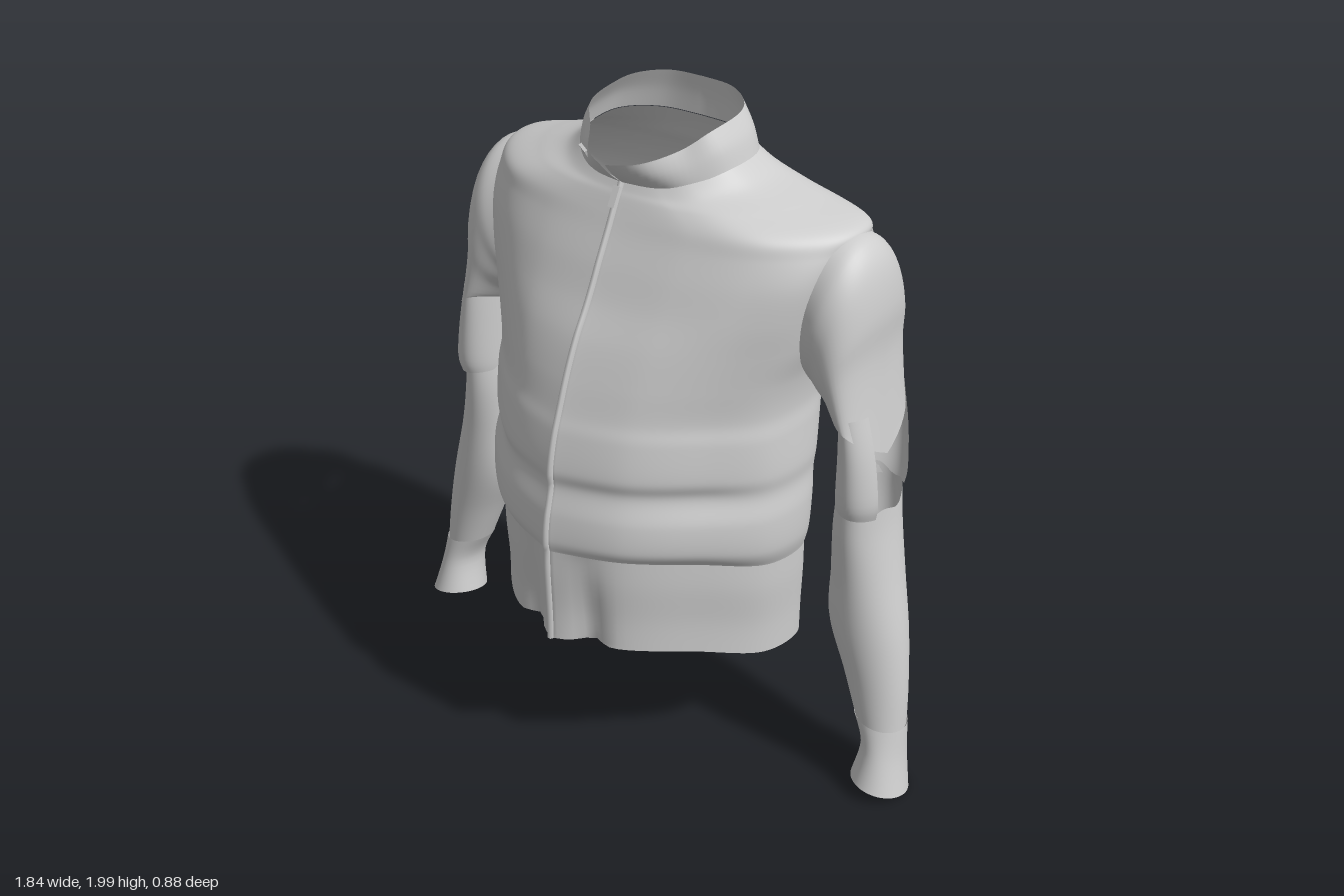
import * as THREE from 'three';
import { mergeVertices } from 'three/addons/utils/BufferGeometryUtils.js';

const fabric = new THREE.MeshStandardMaterial({ color: 0xcccccc, side: THREE.DoubleSide });
fabric.name = 'light grey fabric';

// Catmull-Rom through a list of number rows, t in 0..1
function sample(rows, t) {
  const n = rows.length - 1, f = Math.min(Math.max(t, 0), 1) * n;
  const i = Math.min(Math.floor(f), n - 1), k = f - i;
  const at = j => rows[Math.min(Math.max(j, 0), n)];
  return rows[i].map((_, c) => {
    const [a, b, d, e] = [at(i - 1)[c], at(i)[c], at(i + 1)[c], at(i + 2)[c]];
    return b + 0.5 * k * (d - a + k * (2 * a - 5 * b + 4 * d - e + k * (3 * (b - d) + e - a)));
  });
}

// Smooth sheet from point(u around, v along); hole(point) leaves faces out
function sheet(name, point, cols, rows, { flip = false, hole = () => false } = {}) {
  const pts = [], idx = [];
  for (let i = 0; i <= rows; i++)
    for (let j = 0; j <= cols; j++) pts.push(point(j / cols, i / rows));
  for (let i = 0; i < rows; i++)
    for (let j = 0; j < cols; j++) {
      const a = i * (cols + 1) + j, b = a + 1, d = a + cols + 1, c = d + 1;
      if (hole(pts[a])) continue;
      if (flip) idx.push(a, c, b, a, d, c);
      else idx.push(a, b, c, a, c, d);
    }
  let g = new THREE.BufferGeometry();
  g.setAttribute('position', new THREE.Float32BufferAttribute(pts.flat(), 3));
  g.setIndex(idx);
  g = mergeVertices(g, 1e-5);
  g.computeVertexNormals();
  const m = new THREE.Mesh(g, fabric);
  m.name = name;
  return m;
}

// Body cross-section; row = [front y, back y, half width, front z, side z, back z,
// front roundness, back roundness]
function section(row, u) {
  const [yF, yB, W, F, S, B, r, q] = row;
  const y = w => yB + (yF - yB) * w;
  const half = [
    [0, y(1), F],
    [0.4 * W, y(0.97), S + (F - S) * (0.8 + 0.13 * r)],
    [0.72 * W, y(0.75), S + (F - S) * (0.42 + 0.25 * r)],
    [0.96 * W, y(0.35), S],
    [W, y(0.2), (S + B) / 2],
    [(0.92 - 0.08 * q) * W, y(0.08), B + (0.09 + 0.16 * q) * (S - B)],
    [(0.6 - 0.13 * q) * W, y(0), B + 0.05 * q * (S - B)],
    [0, y(0), B],
  ];
  const p = sample(half, 1 - Math.abs(1 - 2 * u));
  if (u > 0.5) p[0] *= -1;
  return p;
}

const NECK = [1.82, 1.885, 0.25, 0.065, -0.07, -0.30, 0.8, 0.9];
const BODY = [
  [0.81, 0.70, 0.495, 0.425, 0.03, -0.30, 0, 0.9],
  [0.85, 0.77, 0.51, 0.43, 0.05, -0.31, 0.1, 0.9],
  [0.93, 0.88, 0.51, 0.42, 0.05, -0.325, 0.1, 0.9],
  [1.01, 0.96, 0.50, 0.40, 0.035, -0.335, 0, 0.85],
  [1.07, 1.03, 0.503, 0.402, 0.04, -0.345, 0.1, 0.8],
  [1.17, 1.14, 0.495, 0.38, 0.04, -0.365, 0.1, 0.7],
  [1.23, 1.22, 0.488, 0.358, 0.03, -0.375, 0.1, 0.6],
  [1.32, 1.32, 0.50, 0.325, 0.02, -0.39, 0.2, 0.4],
  [1.42, 1.42, 0.53, 0.28, 0.0, -0.40, 0.3, 0.1],
  [1.52, 1.52, 0.55, 0.22, -0.01, -0.41, 0.5, -0.1],
  [1.61, 1.62, 0.57, 0.175, -0.035, -0.41, 0.6, 0],
  [1.685, 1.69, 0.583, 0.135, -0.08, -0.395, 0.75, 0.4],
  [1.735, 1.742, 0.575, 0.11, -0.12, -0.375, 0.9, 0.9],
  [1.775, 1.785, 0.44, 0.09, -0.11, -0.35, 0.9, 0.9],
  [1.795, 1.83, 0.32, 0.078, -0.09, -0.33, 0.85, 0.9],
  NECK,
];

// Torso with horizontal quilting on the back panel
function body(u, v) {
  const p = section(sample(BODY, v), u);
  const k = (p[1] - 0.73) / 0.8;
  if (u > 0.25 && u < 0.75 && p[2] < -0.2 && k > 0 && k < 1) {
    const edge = THREE.MathUtils.smoothstep(0.43 - Math.abs(p[0]), 0, 0.05);
    p[2] -= 0.028 * edge * Math.sqrt(Math.abs(Math.sin(k * 6 * Math.PI)));
  }
  return p;
}

// Opening under each sleeve cap
const armhole = ([x, y, z]) =>
  Math.abs(x) > 0.45 && ((y - 1.51) / 0.19) ** 2 + ((z + 0.185) / 0.15) ** 2 < 1;

// Waistband with a pleat each side of the zip
const BAND = [
  [0.50, 0.37, 0.49, 0.42, 0.02, -0.305, 0, 0.9],
  [0.60, 0.48, 0.49, 0.42, 0.02, -0.305, 0, 0.9],
  [0.72, 0.61, 0.495, 0.425, 0.03, -0.305, 0, 0.9],
  [0.815, 0.70, 0.495, 0.425, 0.03, -0.30, 0, 0.9],
];
function band(u, v) {
  const p = section(sample(BAND, v), u);
  if (p[2] > 0) p[2] -= 0.04 * (1 - v) * Math.exp(-(((Math.abs(p[0]) - 0.1) / 0.04) ** 2));
  return p;
}

// Stand collar, parting slightly towards the top at the front
const COLLAR = [
  [1.815, 1.885, 0.255, 0.075, -0.07, -0.305, 0.6, 0.9],
  [1.855, 1.945, 0.236, 0.125, -0.06, -0.305, 0, 0.9],
  [1.895, 2.0, 0.205, 0.165, -0.05, -0.30, -0.4, 0.9],
];
const collar = (u, v) => section(sample(COLLAR, v), 0.5 + (u - 0.5) * (0.995 - 0.02 * v));

// Sleeve rings: [outer x, outer y, inner x, inner y, front z, back z]
const UPPER = [
  [0.56, 1.735, 0.49, 1.30, -0.015, -0.355],
  [0.62, 1.715, 0.505, 1.285, -0.002, -0.37],
  [0.665, 1.65, 0.52, 1.275, 0.0, -0.374],
  [0.69, 1.53, 0.54, 1.26, 0.0, -0.375],
  [0.692, 1.38, 0.575, 1.23, -0.005, -0.36],
  [0.73, 1.11, 0.61, 1.18, -0.01, -0.335],
];
const ELBOW = [
  [0.72, 1.26, 0.615, 1.26, -0.02, -0.33],
  [0.757, 1.13, 0.612, 1.13, -0.02, -0.325],
  [0.778, 1.0, 0.61, 1.0, -0.02, -0.315],
  [0.77, 0.94, 0.61, 0.96, -0.03, -0.31],
];
const FOREARM = [
  [0.758, 0.94, 0.61, 1.0, -0.04, -0.305],
  [0.77, 0.86, 0.60, 0.88, -0.04, -0.305],
  [0.80, 0.72, 0.60, 0.72, -0.045, -0.29],
  [0.845, 0.53, 0.605, 0.56, -0.045, -0.26],
  [0.87, 0.36, 0.67, 0.40, -0.05, -0.225],
  [0.88, 0.23, 0.725, 0.26, -0.05, -0.205],
];
const CUFF = [
  [0.883, 0.235, 0.722, 0.265, -0.047, -0.208],
  [0.895, 0.13, 0.765, 0.17, -0.03, -0.195],
  [0.92, 0.02, 0.75, 0.05, 0.005, -0.19],
];
function ring(row, th) {
  const k = (1 + Math.cos(th)) / 2, [xo, yo, xi, yi, zf, zb] = row;
  return [xi + (xo - xi) * k, yi + (yo - yi) * k, (zf + zb) / 2 + (zf - zb) / 2 * Math.sin(th)];
}

function sleeve(side) {
  const g = new THREE.Group();
  g.name = side > 0 ? 'leftSleeve' : 'rightSleeve';
  const add = (name, rows, from, to, n, tweak) => g.add(sheet(name, (u, v) => {
    const th = from + (to - from) * u, p = ring(sample(rows, v), th);
    if (tweak) p[1] += tweak(th, v);
    p[0] *= side;
    return p;
  }, 48, n, { flip: side < 0 }));
  const full = Math.PI * 2;
  // Upper part ends in a point over the outer elbow
  add('upperSleeve', UPPER, 0, full, 24, (th, v) => 0.08 * Math.abs(Math.sin(th)) * v ** 4);
  // Elbow panel is torn open on the outer side
  add('elbowPanel', ELBOW, 0.2 * Math.PI, 1.65 * Math.PI, 12);
  add('forearm', FOREARM, 0, full, 24, (th, v) => 0.012 * Math.sin(5 * th) * (1 - v) ** 8);
  add('cuff', CUFF, 0, full, 10, (th, v) => 0.02 * Math.sin(th) * v);
  // Cuff zip
  const path = [0.32, 0.22, 0.12, 0.03].map((y, i) =>
    new THREE.Vector3(side * (0.83 + 0.01 * i), y, -0.212 + 0.009 * i));
  const zip = new THREE.Mesh(new THREE.TubeGeometry(new THREE.CatmullRomCurve3(path), 12, 0.006, 6), fabric);
  zip.name = 'cuffZip';
  g.add(zip);
  return g;
}

export function createModel() {
  const jacket = new THREE.Group();
  jacket.name = 'jacket';
  jacket.add(sheet('torso', body, 160, 160, { hole: armhole }));
  jacket.add(sheet('waistband', band, 120, 14));
  jacket.add(sheet('collar', collar, 80, 10));
  jacket.add(sleeve(1), sleeve(-1));

  // Front zip follows the centre line of the band and torso
  const centre = [];
  for (let i = 0; i < 4; i++) centre.push(new THREE.Vector3(-0.005, ...band(0, i / 4).slice(1)));
  for (let i = 0; i <= 24; i++) centre.push(new THREE.Vector3(-0.005, ...body(0, i / 24).slice(1)));
  const zip = new THREE.Mesh(new THREE.TubeGeometry(new THREE.CatmullRomCurve3(centre), 100, 0.01, 6), fabric);
  zip.name = 'frontZip';
  jacket.add(zip);

  // Zip pull and collar snap
  const pull = new THREE.Mesh(new THREE.BoxGeometry(0.02, 0.06, 0.009), fabric);
  pull.name = 'zipPull';
  pull.position.set(-0.005, 1.78, 0.1);
  pull.rotation.x = -0.5;
  const snap = new THREE.Mesh(new THREE.BoxGeometry(0.035, 0.035, 0.009), fabric);
  snap.name = 'collarSnap';
  const s = collar(0.9, 0.5);
  snap.position.set(s[0], s[1], s[2] + 0.004);
  snap.rotation.set(0.6, -0.5, 0);
  jacket.add(pull, snap);
  return jacket;
}
